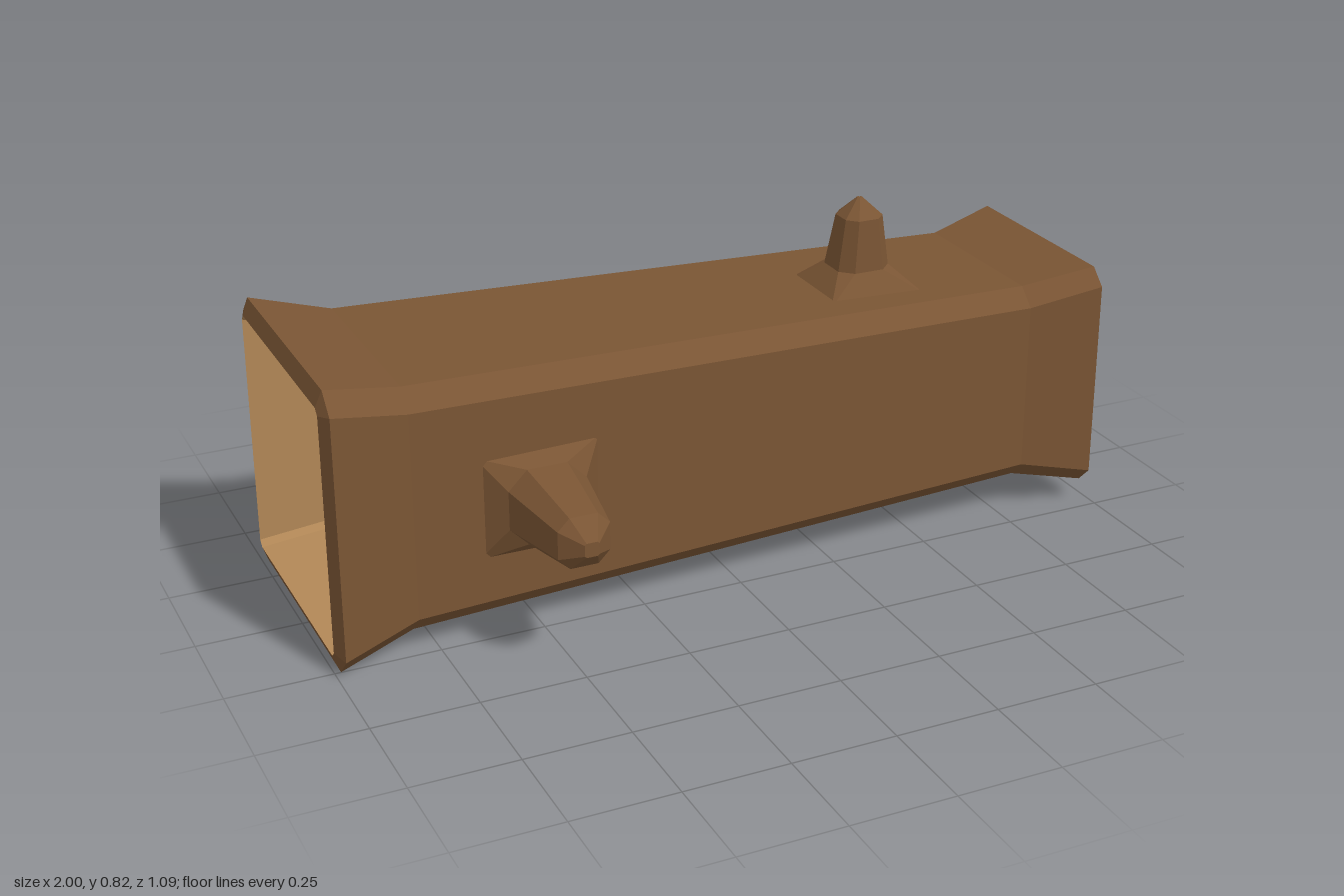
import * as THREE from 'three';

const bark = new THREE.MeshStandardMaterial({ color: 0x7a5534, flatShading: true });
const wood = new THREE.MeshStandardMaterial({ color: 0xb58a58, flatShading: true });

// Rectangle with cut corners, counter-clockwise about +z.
// ring = { w: position along z, hu, hv: half sizes, c: corner cut, v: centre offset in y }
function ringPoints({ w, hu, hv = hu, c, v = 0 }) {
  const corners = [
    [hu, -hv + c], [hu, hv - c], [hu - c, hv], [-hu + c, hv],
    [-hu, hv - c], [-hu, -hv + c], [-hu + c, -hv], [hu - c, -hv],
  ];
  return corners.map(([x, y]) => [x, y + v, w]);
}

// Skin a series of rings with faceted quads.
function loft(rings) {
  const position = [];
  const loops = rings.map(ringPoints);
  for (let i = 0; i < loops.length - 1; i++) {
    for (let j = 0; j < 8; j++) {
      const k = (j + 1) % 8;
      const a = loops[i][j], b = loops[i][k], c = loops[i + 1][k], d = loops[i + 1][j];
      position.push(...a, ...b, ...c, ...a, ...c, ...d);
    }
  }
  const geometry = new THREE.BufferGeometry();
  geometry.setAttribute('position', new THREE.Float32BufferAttribute(position, 3));
  geometry.computeVertexNormals();
  return geometry;
}

function addMesh(parent, name, rings, material) {
  const mesh = new THREE.Mesh(loft(rings), material);
  mesh.name = name;
  parent.add(mesh);
  return mesh;
}

// Twig stub: square flared foot, tapering stem and pointed tip.
function addStub(parent, name, { foot, neck, end, tip }, position, rotation) {
  const stub = addMesh(parent, name, [
    { c: 0.002, ...foot },
    { c: 0.03, ...neck },
    { c: 0.024, ...end },
    { c: 0.004, ...tip },
    { w: tip.w, hu: 0.001, c: 0.0004, v: tip.v },
  ], bark);
  stub.position.set(...position);
  stub.rotation.set(...rotation);
}

export function createModel() {
  const model = new THREE.Group();
  model.name = 'hollowLog';

  // Hollow trunk, lofted along its length with flared ends
  const trunk = new THREE.Group();
  trunk.name = 'trunk';
  trunk.rotation.y = Math.PI / 2;
  trunk.position.set(0, 0.343, -0.045);
  model.add(trunk);

  addMesh(trunk, 'barkShell', [
    { w: -1, hu: 0.3, c: 0.014 },
    { w: -0.985, hu: 0.341, c: 0.047 },
    { w: -0.8, hu: 0.298, c: 0.047 },
    { w: 0.8, hu: 0.253, c: 0.043 },
    { w: 0.98, hu: 0.288, c: 0.04 },
    { w: 1, hu: 0.25, c: 0.012 },
  ], bark);

  // Rings run backwards so the faces look inwards
  addMesh(trunk, 'innerWall', [
    { w: 1, hu: 0.25, c: 0.012 },
    { w: 0.8, hu: 0.211, c: 0.012 },
    { w: -0.8, hu: 0.257, c: 0.014 },
    { w: -1, hu: 0.3, c: 0.014 },
  ], wood);

  // Broken twigs on the front, top and back
  addStub(model, 'frontTwig', {
    foot: { w: -0.006, hu: 0.145, hv: 0.125 },
    neck: { w: 0.05, hu: 0.093, hv: 0.092, c: 0.045, v: 0.012 },
    end: { w: 0.257, hu: 0.061, hv: 0.061, c: 0.028, v: 0.015 },
    tip: { w: 0.303, hu: 0.017, v: 0.015 },
  }, [-0.5, 0.325, 0.243], [0, 0, 0]);

  addStub(model, 'topTwig', {
    foot: { w: -0.005, hu: 0.122, hv: 0.108 },
    neck: { w: 0.05, hu: 0.068, hv: 0.066 },
    end: { w: 0.178, hu: 0.05, v: -0.008 },
    tip: { w: 0.222, hu: 0.006, v: -0.008 },
  }, [0.433, 0.605, -0.01], [-Math.PI / 2, 0, 0]);

  addStub(model, 'backTwig', {
    foot: { w: -0.005, hu: 0.118, hv: 0.103 },
    neck: { w: 0.05, hu: 0.067, hv: 0.065, v: 0.008 },
    end: { w: 0.175, hu: 0.048, v: 0.008 },
    tip: { w: 0.221, hu: 0.006, v: 0.008 },
  }, [-0.178, 0.293, -0.324], [0, Math.PI, 0]);

  return model;
}
